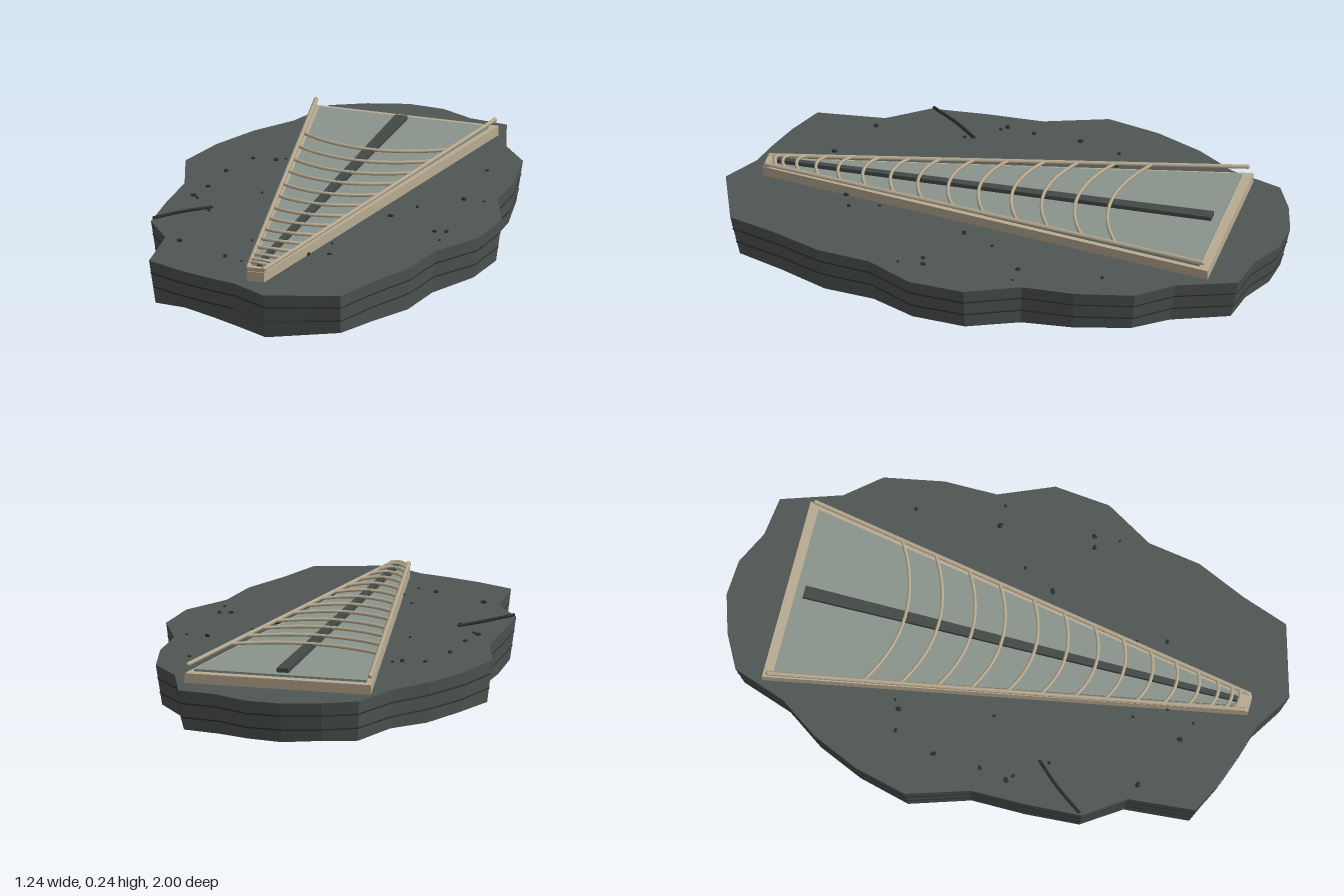
import * as THREE from 'three';

const mat = (name, color, side = THREE.FrontSide) => {
  const m = new THREE.MeshStandardMaterial({ color, side });
  m.name = name;
  return m;
};

// Rock outline seen from above: [x, z], clockwise from the back
const OUTLINE = [
  [-0.06, -1], [0.07, -0.99], [0.19, -0.93], [0.33, -0.91], [0.4, -0.7], [0.5, -0.58], [0.54, -0.37],
  [0.54, -0.18], [0.62, 0.01], [0.6, 0.21], [0.5, 0.38], [0.47, 0.57], [0.39, 0.75], [0.33, 0.92],
  [0.07, 1], [-0.06, 0.92], [-0.17, 0.89], [-0.29, 0.85], [-0.42, 0.79], [-0.44, 0.55], [-0.54, 0.41],
  [-0.55, 0.21], [-0.55, 0.01], [-0.62, -0.21], [-0.57, -0.4], [-0.49, -0.57], [-0.39, -0.71],
  [-0.32, -0.9], [-0.2, -0.96],
];
// Uneven height of the lower edge, one per outline point
const BOTTOM = [22, 25, 20, 22, 18, 24, 20, 14, 16, 18, 8, 6, 12, 20, 2, 0, 14, 22, 5, 10, 18, 14, 20, 16, 22, 18, 24, 20, 26]
  .map((v) => v / 1000);
const TOP = 0.17;

function flatGeometry(points) {
  const g = new THREE.BufferGeometry();
  g.setAttribute('position', new THREE.Float32BufferAttribute(points.flat(), 3));
  g.computeVertexNormals();
  return g;
}

// Closed rock: flat top fan, tapering wall, rough underside fan
function rockGeometry() {
  const p = [];
  const n = OUTLINE.length;
  const top = (i) => [OUTLINE[i][0], TOP, OUTLINE[i][1]];
  const low = (i) => [OUTLINE[i][0] * 0.965, BOTTOM[i], OUTLINE[i][1] * 0.965];
  for (let i = 0; i < n; i++) {
    const j = (i + 1) % n;
    p.push([0, TOP, 0], top(j), top(i));
    p.push(top(i), top(j), low(j), top(i), low(j), low(i));
    p.push([0, 0.03, 0], low(i), low(j));
  }
  return flatGeometry(p);
}

// Thin ring of wall hugging the rock at height y
function seamGeometry(y, h) {
  const p = [];
  const n = OUTLINE.length;
  const at = (i, yy) => {
    const k = 1.003 - 0.035 * (TOP - y) / 0.15;
    return [OUTLINE[i][0] * k, yy, OUTLINE[i][1] * k];
  };
  for (let i = 0; i < n; i++) {
    const j = (i + 1) % n;
    const a = at(i, y + h), b = at(j, y + h), c = at(j, y), d = at(i, y);
    p.push(a, b, c, a, c, d);
  }
  return flatGeometry(p);
}

// Wedge-shaped slab lying flat, from back (z0, half width w0) to front (z1, w1)
function wedge(z0, w0, z1, w1, h) {
  const s = new THREE.Shape([[-w1, -z1], [w1, -z1], [w0, -z0], [-w0, -z0]].map(([x, y]) => new THREE.Vector2(x, y)));
  return new THREE.ExtrudeGeometry(s, { depth: h, bevelEnabled: false }).rotateX(-Math.PI / 2);
}

const tube = (pts, r, seg = 1) =>
  new THREE.TubeGeometry(new THREE.CatmullRomCurve3(pts.map((q) => new THREE.Vector3(...q))), seg, r, 6);

export function createModel() {
  const model = new THREE.Group();
  model.name = 'stoneWithRibbedWedge';
  const rock = mat('slate', 0x505653);
  const dark = mat('darkStone', 0x2b2f2d, THREE.DoubleSide);
  const bone = mat('bone', 0xb9ab92);
  const glass = mat('paleGreenGrey', 0x8b958c);
  const spineMat = mat('spineGrey', 0x434947);

  const add = (name, geometry, material, parent = model) => {
    const m = new THREE.Mesh(geometry, material);
    m.name = name;
    parent.add(m);
    return m;
  };

  // Rock slab with two dark strata lines
  add('rockSlab', rockGeometry(), rock);
  for (const y of [0.119, 0.066]) add('strataLine', seamGeometry(y, 0.005), dark);

  // Plinth and inlaid panel
  add('plinth', wedge(-0.8, 0.337, 0.875, 0.032, 0.036), bone).position.y = TOP - 0.001;
  add('panel', wedge(-0.765, 0.312, 0.83, 0.022, 0.008), glass).position.y = 0.205;

  // Side rails, rising to the back
  const railX = (z) => 0.03 + 0.3 * (0.865 - z) / 1.65;
  const railY = (z) => 0.217 + 0.016 * (0.865 - z) / 1.65;
  for (const s of [-1, 1]) {
    add('sideRail', tube([[s * railX(0.865), railY(0.865), 0.865], [s * railX(-0.78), railY(-0.78), -0.78]], 0.008), bone);
    for (const z of [0.865, -0.78]) {
      add('railEnd', new THREE.SphereGeometry(0.0085, 8, 6), bone).position.set(s * railX(z), railY(z), z);
    }
  }
  add('frontBar', new THREE.BoxGeometry(0.066, 0.014, 0.018), bone).position.set(0, 0.212, 0.862);

  // Tapered central spine
  add('spine', wedge(-0.735, 0.022, 0.83, 0.009, 0.017), spineMat).position.y = 0.211;

  // Curved ribs bowing forward over the spine
  const ribs = new THREE.Group();
  ribs.name = 'ribs';
  model.add(ribs);
  for (const z of [-0.37, -0.25, -0.13, -0.02, 0.1, 0.21, 0.32, 0.42, 0.52, 0.61, 0.69, 0.76, 0.81, 0.84]) {
    const bow = 0.31 * railX(z - 0.03);
    const zEnd = z - bow;
    const w = railX(zEnd);
    const pts = [];
    for (let i = -4; i <= 4; i++) {
      const t = i / 4;
      pts.push([t * w, THREE.MathUtils.lerp(0.228, railY(zEnd), t * t), z - bow * t * t]);
    }
    add('rib', tube(pts, 0.0065, 16), bone, ribs);
  }

  // Thin twig lying on the rock
  add('twig', tube([[-0.535, 0.179, 0.4], [-0.46, 0.177, 0.3], [-0.38, 0.173, 0.215]], 0.006, 6), dark);

  // Scattered pebbles
  const pebbles = new THREE.Group();
  pebbles.name = 'pebbles';
  model.add(pebbles);
  const spots = [
    [-0.4, -0.3], [-0.32, -0.31], [-0.29, -0.33], [-0.45, -0.15], [-0.46, 0.02], [-0.26, 0.02], [-0.48, 0.12],
    [-0.46, 0.14], [-0.38, 0.25], [-0.38, 0.57], [-0.14, 0.49], [-0.08, 0.6], [-0.18, 0.67], [-0.11, 0.7],
    [0.09, 0.56], [0.16, 0.535], [0.135, 0.43], [0.24, 0.1], [0.3, -0.015], [0.415, -0.44], [0.43, -0.14],
    [0.505, -0.14], [0.435, 0.2], [0.475, 0.19], [0.48, 0.28],
  ];
  spots.forEach(([x, z], i) => {
    const g = new THREE.DodecahedronGeometry(0.009 + 0.003 * Math.sin(i * 2.3), 0).scale(1, 0.6, 0.8);
    const p = add('pebble', g, dark, pebbles);
    p.position.set(x, TOP + 0.003, z);
    p.rotation.y = i * 1.7;
  });

  return model;
}
